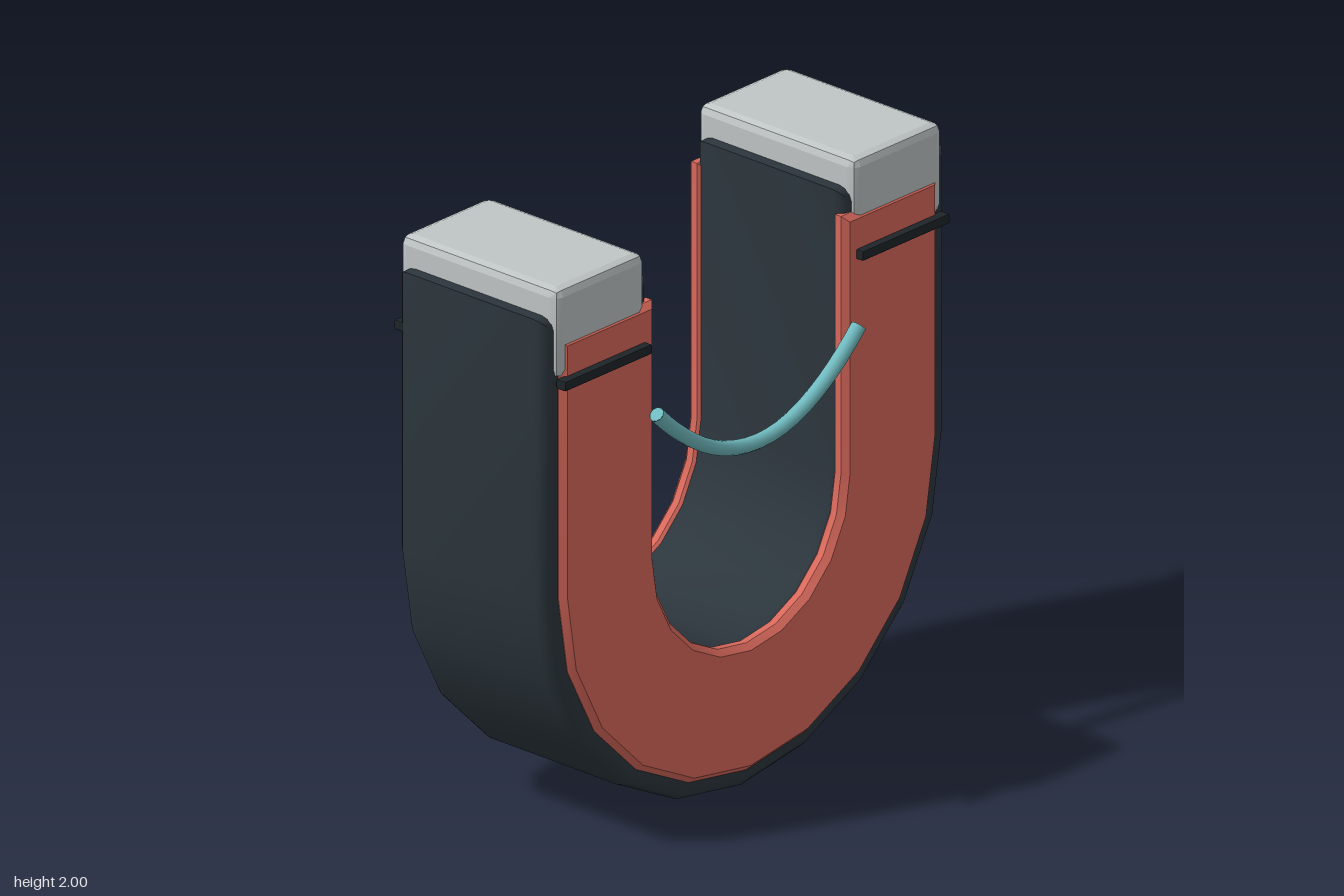
import * as THREE from 'three';
import { toCreasedNormals } from 'three/addons/utils/BufferGeometryUtils.js';
import { RoundedBoxGeometry } from 'three/addons/geometries/RoundedBoxGeometry.js';

const CENTRE_Y = 0.94; // centre of the bend

const material = (name, color) => {
  const m = new THREE.MeshStandardMaterial({ color });
  m.name = name;
  return m;
};

// Bevelled horseshoe between two radii, filling zMin..zMax
function horseshoe(outer, inner, top, zMin, zMax, bevel, steps) {
  const s = new THREE.Shape();
  s.moveTo(-outer, top);
  s.lineTo(-outer, CENTRE_Y);
  s.absarc(0, CENTRE_Y, outer, Math.PI, 2 * Math.PI, false);
  s.lineTo(outer, top);
  s.lineTo(inner, top);
  s.lineTo(inner, CENTRE_Y);
  s.absarc(0, CENTRE_Y, inner, 2 * Math.PI, Math.PI, true);
  s.lineTo(-inner, top);
  s.closePath();
  const g = new THREE.ExtrudeGeometry(s, {
    depth: zMax - zMin - 2 * bevel,
    curveSegments: 5, // ten facets around the half circle
    bevelThickness: bevel,
    bevelSize: bevel,
    bevelOffset: -bevel,
    bevelSegments: steps,
  });
  g.translate(0, 0, zMin + bevel);
  return toCreasedNormals(g, 0.6);
}

export function createModel() {
  const model = new THREE.Group();
  model.name = 'horseshoeMagnet';
  const dark = material('dark slate', 0x2c363d);
  const red = material('red', 0xd9695c);
  const steel = material('light steel', 0xc0c5c6);
  const teal = material('teal', 0x70bbc0);
  const black = material('black', 0x1e2428);

  const add = (name, geometry, mat, x = 0, y = 0, z = 0) => {
    const mesh = new THREE.Mesh(geometry, mat);
    mesh.name = name;
    mesh.position.set(x, y, z);
    model.add(mesh);
  };

  // Core and the raised red faces on both sides
  add('core', horseshoe(0.94, 0.444, 1.9, -0.325, 0.305, 0.045, 3), dark);
  add('frontFace', horseshoe(0.875, 0.44, 1.82, 0.262, 0.327, 0.02, 1), red);
  add('backFace', horseshoe(0.875, 0.44, 1.82, -0.352, -0.287, 0.02, 1), red);

  // Steel pole caps and the thin bars below them
  for (const side of [-1, 1]) {
    const label = side > 0 ? 'left' : 'right';
    const cap = toCreasedNormals(new RoundedBoxGeometry(0.415, 0.31, 0.67, 1, 0.03), 0.3);
    add(label + 'PoleCap', cap, steel, side * 0.692, 1.845, -0.013);
    for (const [end, z] of [['Front', 0.335], ['Back', -0.355]]) {
      const bar = toCreasedNormals(new RoundedBoxGeometry(0.405, 0.034, 0.04, 1, 0.006), 0.3);
      add(label + end + 'Bar', bar, black, side * 0.692, 1.68, z);
    }
  }

  // Cable sagging between the legs, closed at both ends
  const start = new THREE.Vector3(-0.47, 1.45, 0.355);
  const end = new THREE.Vector3(0.47, 1.45, 0.355);
  const curve = new THREE.QuadraticBezierCurve3(start, new THREE.Vector3(0, 0.96, 0.355), end);
  add('cable', new THREE.TubeGeometry(curve, 20, 0.025, 10, false), teal);
  for (const [name, t, sign] of [['cableStart', 0, -1], ['cableEnd', 1, 1]]) {
    const disc = new THREE.CircleGeometry(0.025, 10);
    const dir = curve.getTangent(t).multiplyScalar(sign);
    disc.applyQuaternion(new THREE.Quaternion().setFromUnitVectors(new THREE.Vector3(0, 0, 1), dir));
    const p = curve.getPoint(t);
    add(name, disc, teal, p.x, p.y, p.z);
  }
  return model;
}
